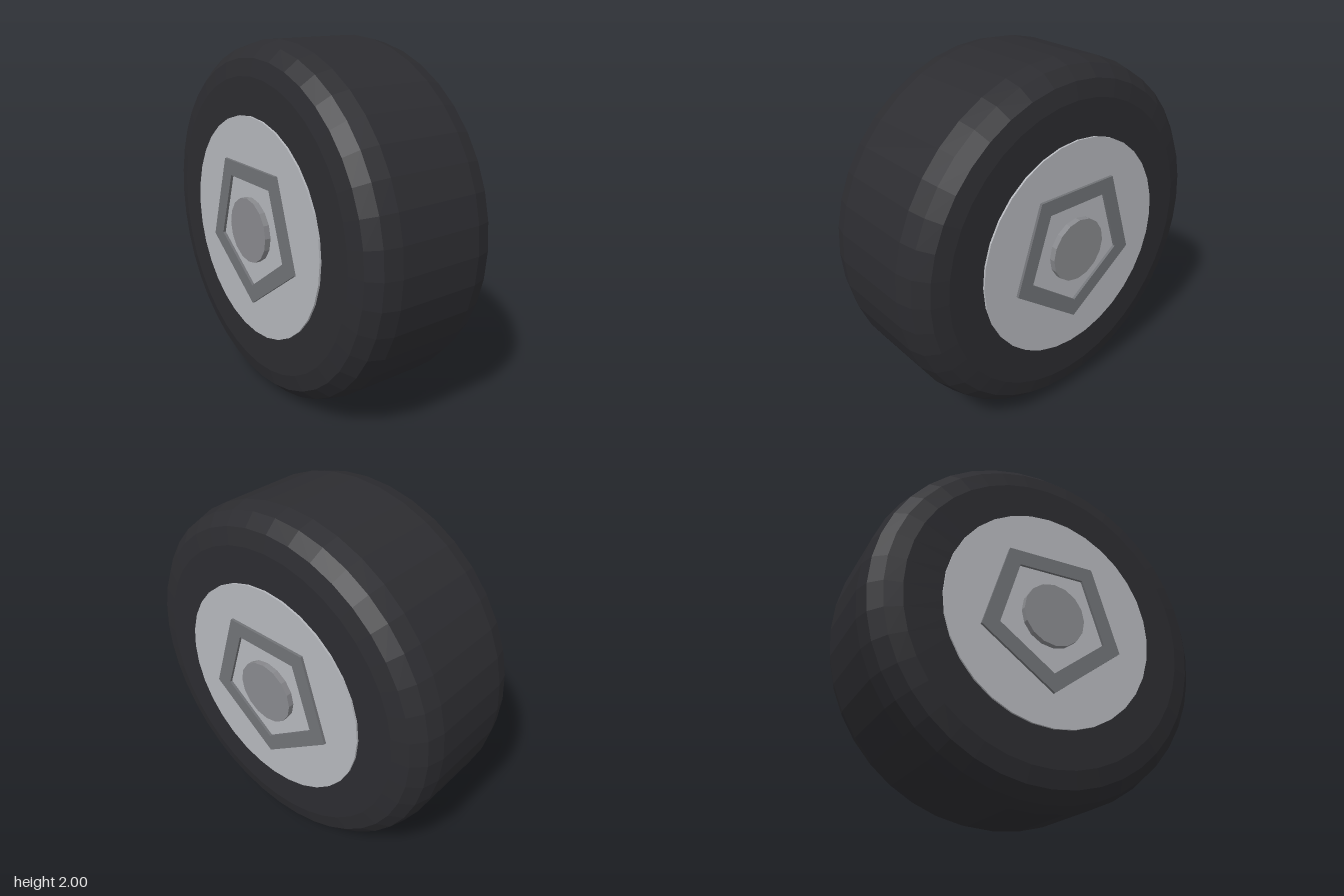
import * as THREE from 'three';

const mat = (color) => new THREE.MeshStandardMaterial({ color, flatShading: true });

// Pentagon with one corner pointing down
function pentagon(radius, PathType) {
  const points = [];
  for (let i = 0; i < 5; i++) {
    const a = -Math.PI / 2 + (i * 2 * Math.PI) / 5;
    points.push(new THREE.Vector2(Math.cos(a) * radius, Math.sin(a) * radius));
  }
  return new PathType(points);
}

// Disc lying across z, from z0 to z1
function disc(radius, z0, z1, sides) {
  return new THREE.CylinderGeometry(radius, radius, z1 - z0, sides)
    .rotateX(Math.PI / 2)
    .translate(0, 0, (z0 + z1) / 2);
}

export function createModel() {
  const model = new THREE.Group();
  model.name = 'wheel';

  const add = (parent, name, geometry, material) => {
    const mesh = new THREE.Mesh(geometry, material);
    mesh.name = name;
    parent.add(mesh);
  };

  // Tire: half profile as [radius, half width], mirrored and spun around x
  const half = [[0.5, 0.427], [0.82, 0.427], [0.912, 0.405], [0.975, 0.34], [1, 0.247]];
  const profile = [
    ...half.map(([r, w]) => new THREE.Vector2(r, -w)),
    ...half.map(([r, w]) => new THREE.Vector2(r, w)).reverse(),
  ];
  const tire = new THREE.LatheGeometry(profile, 40).rotateZ(Math.PI / 2);
  add(model, 'tire', tire, mat(0x2c2c30));

  // Pentagon trim ring
  const ringShape = pentagon(0.433, THREE.Shape);
  ringShape.holes.push(pentagon(0.327, THREE.Path));
  const ring = new THREE.ExtrudeGeometry(ringShape, { depth: 0.033, bevelEnabled: false })
    .translate(0, 0, 0.42);

  const rimDisc = disc(0.617, 0.38, 0.438, 32);
  const cap = disc(0.18, 0.41, 0.471, 16);
  const rimMat = mat(0xb4b6bb);
  const ringMat = mat(0x707276);
  const capMat = mat(0x88898d);

  // Same hub on both sides
  for (const [side, sign] of [['left', 1], ['right', -1]]) {
    const hub = new THREE.Group();
    hub.name = side + 'Hub';
    hub.rotation.y = (sign * Math.PI) / 2;
    add(hub, 'rimDisc', rimDisc, rimMat);
    add(hub, 'pentagonRing', ring, ringMat);
    add(hub, 'axleCap', cap, capMat);
    model.add(hub);
  }

  // Stand on the ground
  for (const part of model.children) part.position.y = 1;
  return model;
}
